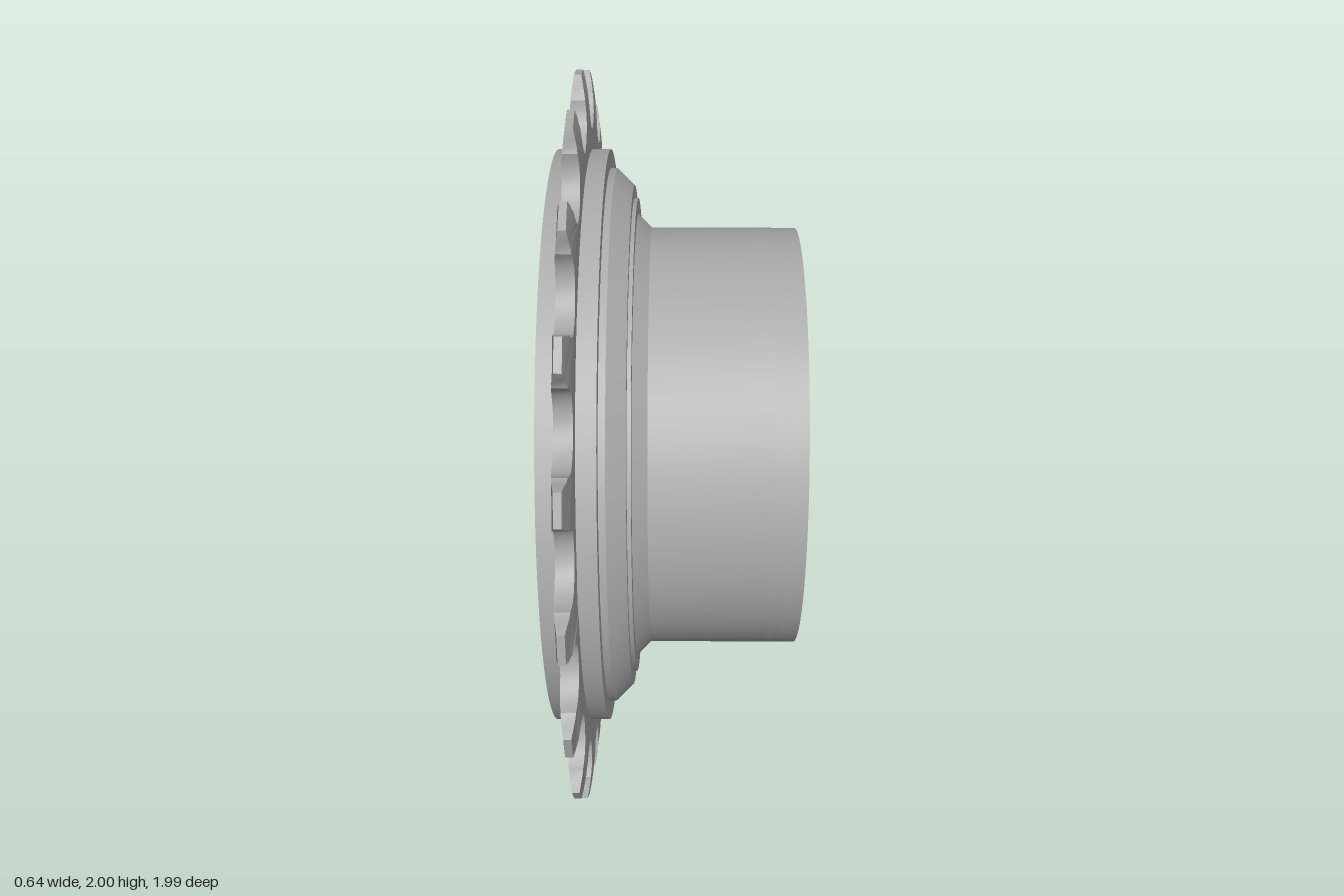
import * as THREE from 'three';
import { toCreasedNormals } from 'three/addons/utils/BufferGeometryUtils.js';

const TEETH = 19, HOLES = 12;
const BORE = 0.52, HUB = 0.575, HOLE_R = 0.031;
const TOOTH_START = THREE.MathUtils.degToRad(1.2);
const HOLE_START = THREE.MathUtils.degToRad(20.4);

const steel = new THREE.MeshStandardMaterial({ color: 0xaaaaaa });
steel.name = 'grey steel';

// Points on a circle, from angle a0 to a1
function arc(cx, cy, r, a0, a1, n) {
  return Array.from({ length: n + 1 }, (_, i) => {
    const a = a0 + (a1 - a0) * i / n;
    return new THREE.Vector2(cx + r * Math.cos(a), cy + r * Math.sin(a));
  });
}
const circle = (cx, cy, r, n) => arc(cx, cy, r, 0, Math.PI * 2 * (1 - 1 / n), n - 1);

// Plate lying across the x axis, between x0 and x1
function plate(outline, holes, x0, x1) {
  const shape = new THREE.Shape(outline);
  shape.holes = holes.map((h) => new THREE.Path(h));
  const g = new THREE.ExtrudeGeometry(shape, { depth: x1 - x0, bevelEnabled: false });
  return g.rotateY(Math.PI / 2).translate(x0, 0, 0);
}

function part(name, geometry) {
  const mesh = new THREE.Mesh(toCreasedNormals(geometry, 0.4), steel);
  mesh.name = name;
  return mesh;
}

// Stepped, hollow body turned around the x axis: [radius, x]
function hubBody() {
  const profile = [
    [0.685, -0.32], [0.785, -0.32], [0.785, -0.18], [0.735, -0.18], [0.735, -0.163],
    [0.69, -0.117], [0.655, -0.117], [0.655, -0.107], [0.612, -0.107], [HUB, -0.07],
    [HUB, 0.24], [BORE, 0.24], [BORE, 0.0], [0.525, -0.04], [0.537, -0.08],
    [0.56, -0.12], [0.585, -0.145], [0.585, -0.16], [0.625, -0.16], [0.625, -0.18],
    [0.665, -0.18], [0.685, -0.32],
  ].map(([r, x]) => new THREE.Vector2(r, x));
  return new THREE.LatheGeometry(profile, 96).rotateZ(-Math.PI / 2);
}

// Toothed ring: round seats between teeth that thin towards their tips
function toothRing() {
  const outline = [], step = Math.PI * 2 / TEETH, origin = new THREE.Vector2();
  for (let i = 0; i < TEETH; i++) {
    const a = TOOTH_START + i * step;
    const tip = [[0.95, -0.052], [0.975, -0.048], [0.998, -0.04],
      [0.998, 0.04], [0.975, 0.048], [0.95, 0.052]];
    for (const [x, y] of tip) outline.push(new THREE.Vector2(x, y).rotateAround(origin, a));
    const seat = arc(0.935, 0, 0.096, -Math.PI / 2, -Math.PI * 1.5, 16);
    for (const p of seat) outline.push(p.rotateAround(origin, a + step / 2));
  }
  const mid = -0.25, g = plate(outline, [circle(0, 0, 0.75, 96)], mid - 0.022, mid + 0.022);
  const pos = g.attributes.position;
  for (let i = 0; i < pos.count; i++) {
    const r = Math.hypot(pos.getY(i), pos.getZ(i));
    const t = THREE.MathUtils.clamp((r - 0.87) / 0.13, 0, 1);
    pos.setX(i, mid + Math.sign(pos.getX(i) - mid) * (0.022 - 0.013 * t * t));
  }
  return g;
}

const holeAngles = Array.from({ length: HOLES }, (_, i) => HOLE_START + i * Math.PI * 2 / HOLES);

// End flange with its ring of bolt holes
function flange() {
  const bolts = holeAngles.map((a) => circle(BORE * Math.cos(a), BORE * Math.sin(a), HOLE_R, 20));
  return plate(circle(0, 0, HUB, 96), [circle(0, 0, 0.46, 96), ...bolts], 0.27, 0.32);
}

// Half-round ends of the bolt holes, cut into the bore wall
function notchedRing() {
  const inner = [], half = 2 * Math.asin(HOLE_R / BORE / 2);
  for (const a of holeAngles) {
    const cx = BORE * Math.cos(a), cy = BORE * Math.sin(a);
    inner.push(...arc(cx, cy, HOLE_R, a - Math.PI / 2 - half / 2, a + Math.PI / 2 + half / 2, 10));
    inner.push(...arc(0, 0, BORE, a + half, a + Math.PI * 2 / HOLES - half, 8).slice(1, -1));
  }
  return plate(circle(0, 0, HUB, 96), [inner], 0.24, 0.27);
}

export function createModel() {
  const group = new THREE.Group();
  group.name = 'sprocket';
  group.add(
    part('hubBody', hubBody()),
    part('toothRing', toothRing()),
    part('boltFlange', flange()),
    part('notchedBoreRing', notchedRing()),
  );
  for (const mesh of group.children) mesh.position.y = 1;
  return group;
}
